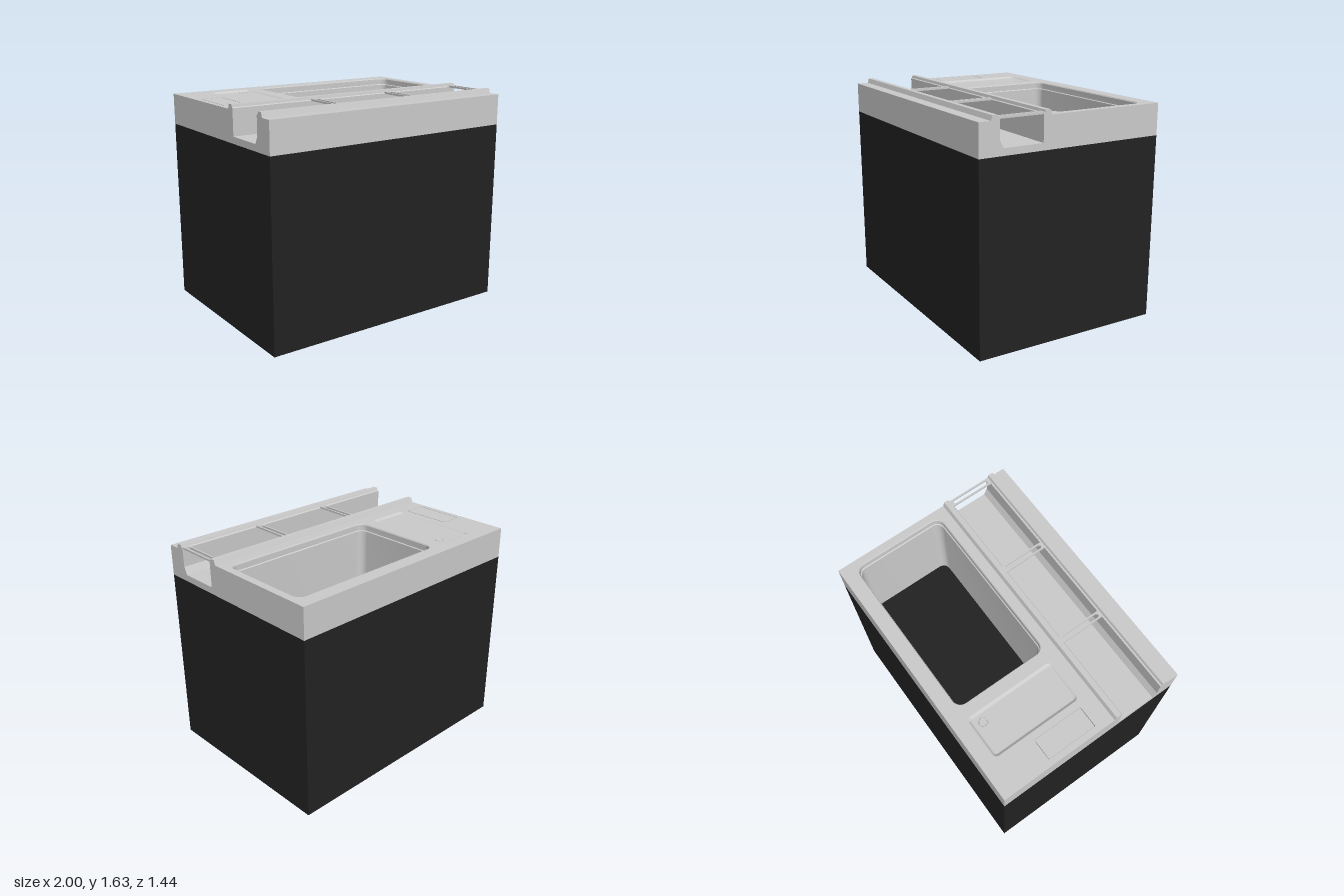
import * as THREE from 'three';
import { toCreasedNormals } from 'three/addons/utils/BufferGeometryUtils.js';

const steel = new THREE.MeshStandardMaterial({ color: 0xcccccc, side: THREE.DoubleSide });
const black = new THREE.MeshStandardMaterial({ color: 0x222222 });

const BASE_TOP = 1.37, TOP = 1.6, FLOOR = 0.9, SKIN = 0.02;
const BASIN = [-0.33, 0.945, -0.615, 0.105, 0.07];
const DRAINER = [-0.745, -0.42, -0.61, 0.08, 0.035];
const PANEL = [-0.96, -0.795, -0.335, 0.05, 0.012];

// Rounded rectangle outline in plan, as points (x, -z)
function outline([x0, x1, z0, z1, r], inset = 0, steps = 8) {
  const pts = [], q = Math.max(r - inset, 0.001);
  const corners = [[x1 - r, -z0 - r], [x0 + r, -z0 - r], [x0 + r, -z1 + r], [x1 - r, -z1 + r]];
  corners.forEach(([cx, cy], c) => {
    for (let i = 0; i <= steps; i++) {
      const a = (c + i / steps) * Math.PI / 2;
      pts.push(new THREE.Vector2(cx + q * Math.cos(a), cy + q * Math.sin(a)));
    }
  });
  return pts;
}

function rectangle(x0, x1, z0, z1) {
  return [[x0, -z1], [x1, -z1], [x1, -z0], [x0, -z0]].map(p => new THREE.Vector2(...p));
}

// Horizontal plate with holes, from y0 to y1
function plate(name, pts, holes, y0, y1, material = steel) {
  const shape = new THREE.Shape(pts);
  shape.holes = holes.map(h => new THREE.Path(h));
  const geo = new THREE.ExtrudeGeometry(shape, { depth: y1 - y0, bevelEnabled: false });
  geo.rotateX(-Math.PI / 2).translate(0, y0, 0);
  return named(name, geo, material);
}

// Cross-section (z, y) running across the full width
function run(name, section) {
  const shape = new THREE.Shape(section.map(p => new THREE.Vector2(...p)));
  const geo = new THREE.ExtrudeGeometry(shape, { depth: 2, bevelEnabled: false });
  geo.rotateY(-Math.PI / 2).translate(1, 0, 0);
  return named(name, geo, steel);
}

// Wall skin through rounded rectangles given as [inset, y], top to bottom
function loft(name, rect, levels) {
  const rings = levels.map(([inset, y]) => outline(rect, inset).map(p => [p.x, y, -p.y]));
  const n = rings[0].length, index = [];
  for (let k = 0; k < rings.length - 1; k++) {
    for (let i = 0; i < n; i++) {
      const a = k * n + i, b = k * n + (i + 1) % n;
      index.push(a, b, a + n, b, b + n, a + n);
    }
  }
  const geo = new THREE.BufferGeometry();
  geo.setAttribute('position', new THREE.Float32BufferAttribute(rings.flat(2), 3));
  geo.setIndex(index);
  return named(name, toCreasedNormals(geo, 0.5), steel);
}

function named(name, geo, material) {
  const mesh = new THREE.Mesh(geo, material);
  mesh.name = name;
  return mesh;
}

export function createModel() {
  const group = new THREE.Group();
  group.name = 'sinkUnit';

  // Dark cabinet, hollowed for the basin
  const base = named('cabinet', new THREE.BoxGeometry(2, FLOOR, 1.44), black);
  base.position.y = FLOOR / 2;
  group.add(base);
  group.add(plate('cabinetUpper', rectangle(-1, 1, -0.72, 0.72), [outline(BASIN)], FLOOR, BASE_TOP, black));

  // Worktop behind the trough
  const deck = rectangle(-1, 1, -0.72, 0.18);
  group.add(plate('worktopBody', deck, [outline(BASIN)], BASE_TOP, TOP - SKIN));
  group.add(plate('worktopSurface', deck, [BASIN, DRAINER, PANEL].map(r => outline(r)), TOP - SKIN, TOP));

  // Basin walls with a small ledge below the rim
  group.add(loft('basinWalls', BASIN, [
    [0, TOP], [0.005, TOP - 0.008], [0.005, TOP - 0.05], [0.012, TOP - 0.055], [0.012, FLOOR],
  ]));

  // Shallow drainer with its outlet
  group.add(loft('drainerEdge', DRAINER, [[0, TOP], [0.006, TOP - 0.003], [0.015, TOP - 0.012], [0.022, TOP - 0.014]]));
  const drainerFloor = new THREE.ShapeGeometry(new THREE.Shape(outline(DRAINER, 0.022)));
  drainerFloor.rotateX(-Math.PI / 2).translate(0, TOP - 0.014, 0);
  group.add(named('drainerFloor', drainerFloor, steel));
  const outlet = named('drainerOutlet', new THREE.TorusGeometry(0.03, 0.004, 8, 32), steel);
  outlet.rotation.x = Math.PI / 2;
  outlet.position.set(-0.5, TOP - 0.014, -0.53);
  group.add(outlet);

  // Flush inset panel
  group.add(plate('insetPanel', outline(PANEL, 0.006), [], TOP - SKIN, TOP));

  // Front trough, open at both ends
  group.add(run('trough', [[0.18, BASE_TOP], [0.72, BASE_TOP], [0.72, TOP], [0.63, TOP], [0.54, 1.42], [0.18, 1.42]]));

  // Raised rails along the trough
  group.add(run('frontRail', [[0.632, TOP], [0.622, 1.635], [0.585, 1.635], [0.578, 1.615], [0.567, 1.61], [0.567, 1.474]]));
  group.add(run('backRail', [[0.178, 1.42], [0.24, 1.42], [0.24, 1.61], [0.232, 1.615], [0.228, 1.635], [0.19, 1.635], [0.178, TOP]]));

  // Slotted crossbars between the rails
  for (const x of [-0.347, 0.312, 0.968]) {
    const slot = outline([x - 0.015, x + 0.015, 0.25, 0.55, 0.015]);
    group.add(plate('crossbar', rectangle(x - 0.026, x + 0.026, 0.23, 0.575), [slot], 1.606, 1.62));
  }

  return group;
}
